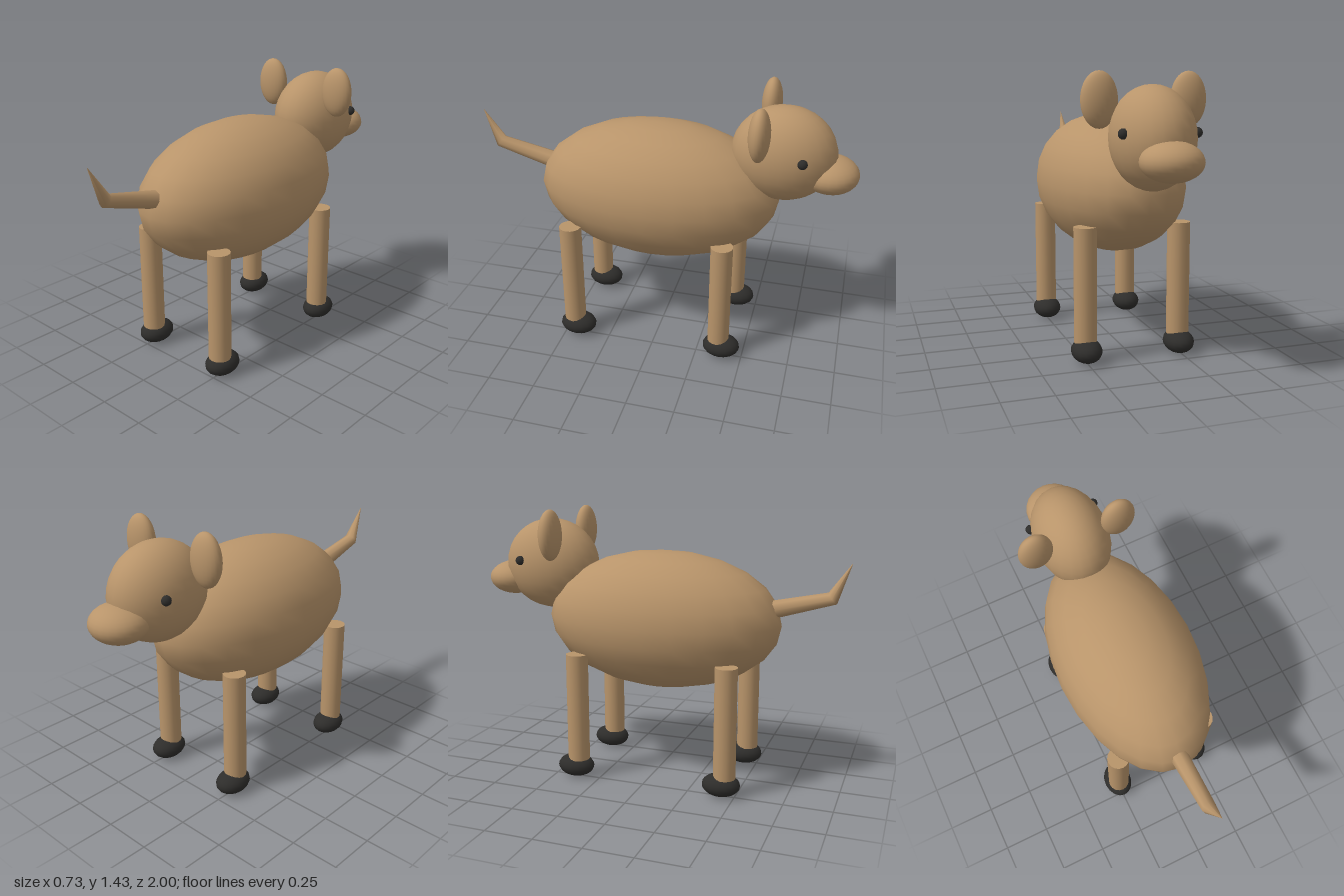
import * as THREE from 'three';

const fur = new THREE.MeshStandardMaterial({ color: 0xb8946a });
const dark = new THREE.MeshStandardMaterial({ color: 0x2e2d2b });

// Ellipsoid from a unit sphere
function ellipsoid(name, material, [x, y, z], [rx, ry, rz], w = 24, h = 16) {
  const geo = new THREE.SphereGeometry(1, w, h);
  geo.scale(rx, ry, rz);
  const mesh = new THREE.Mesh(geo, material);
  mesh.name = name;
  mesh.position.set(x, y, z);
  return mesh;
}

// Bent, tapering tail: the rings of a cylinder are moved onto a path
function makeTail() {
  const sides = 8;
  const rings = [ // y, z, radius, tilt of the ring
    [1.19, 1.0, 0.001, 1.15],
    [1.015, 0.913, 0.036, 0.65],
    [0.943, 0.63, 0.046, 0.25],
    [0.92, 0.54, 0.048, 0.25],
  ];
  const geo = new THREE.CylinderGeometry(1, 1, 1, sides, rings.length - 1, true);
  const pos = geo.attributes.position;
  for (let i = 0; i < pos.count; i++) {
    const [y, z, r, tilt] = rings[Math.floor(i / (sides + 1))];
    const px = pos.getX(i) * r, pz = pos.getZ(i) * r;
    pos.setXYZ(i, px, y - pz * Math.cos(tilt), z + pz * Math.sin(tilt));
  }
  geo.computeVertexNormals();
  const mesh = new THREE.Mesh(geo, fur.clone());
  mesh.material.side = THREE.DoubleSide;
  mesh.name = 'tail';
  return mesh;
}

export function createModel() {
  const model = new THREE.Group();
  model.name = 'animal';

  // Body, head and snout; the animal looks towards -z
  model.add(ellipsoid('body', fur, [0, 0.855, 0.025], [0.366, 0.366, 0.64], 24, 12));
  model.add(ellipsoid('head', fur, [0, 1.125, -0.62], [0.195, 0.245, 0.265]));
  model.add(ellipsoid('snout', fur, [0, 1.037, -0.857], [0.145, 0.093, 0.143]));
  model.add(makeTail());

  for (const s of [-1, 1]) {
    const side = s > 0 ? 'left' : 'right';
    model.add(ellipsoid(side + 'Ear', fur, [s * 0.222, 1.298, -0.52], [0.09, 0.133, 0.053]));
    model.add(ellipsoid(side + 'Eye', dark, [s * 0.177, 1.153, -0.727], [0.025, 0.025, 0.025], 12, 8));

    // Legs with dark feet set slightly forward
    for (const [end, z] of [['Front', -0.37], ['Hind', 0.445]]) {
      const leg = new THREE.Mesh(new THREE.CylinderGeometry(0.058, 0.058, 0.582, 16), fur);
      leg.name = side + end + 'Leg';
      leg.position.set(s * 0.247, 0.391, z);
      model.add(leg);
      model.add(ellipsoid(side + end + 'Foot', dark, [s * 0.247, 0.061, z - 0.017], [0.077, 0.06, 0.1], 16, 12));
    }
  }
  return model;
}
